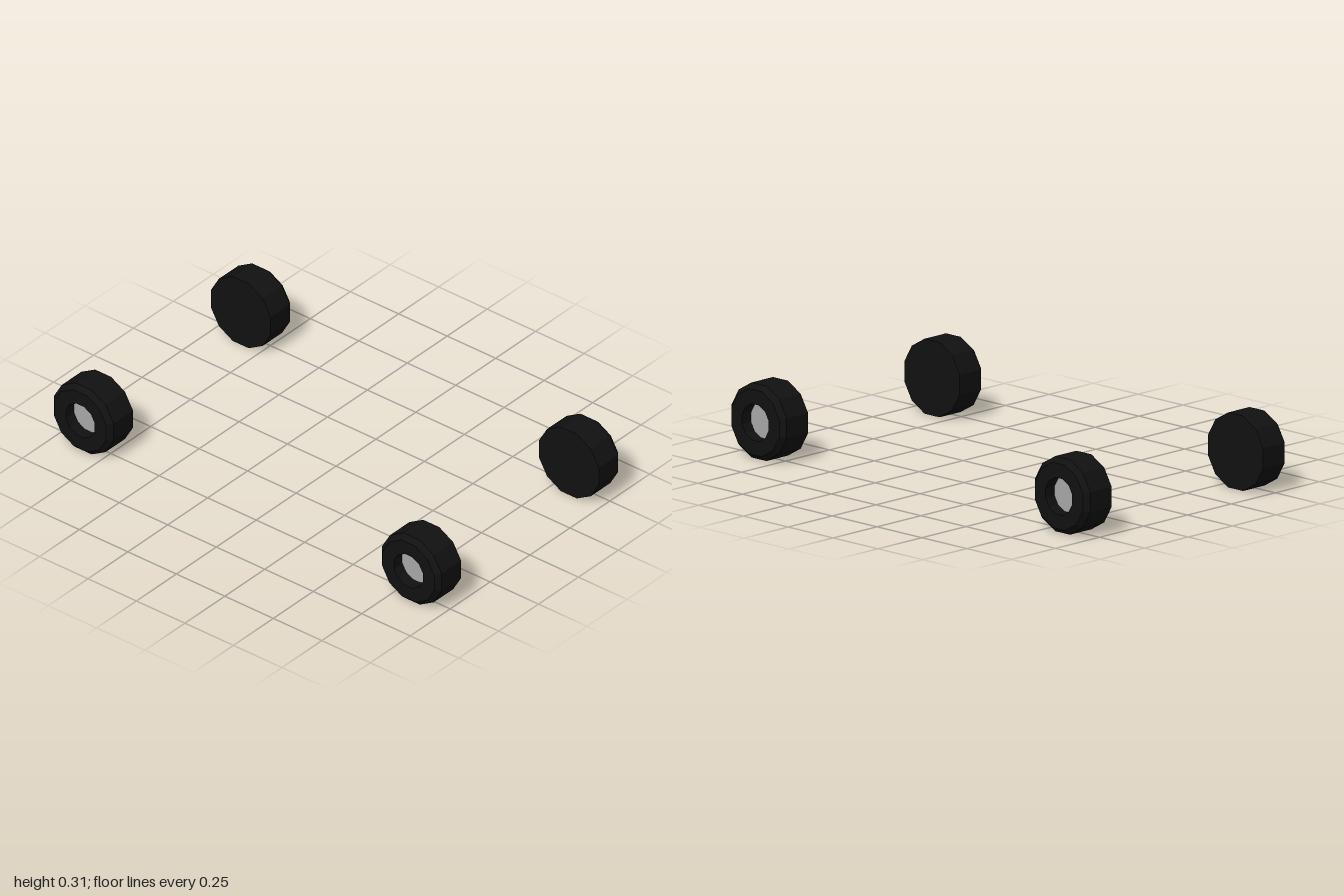
import * as THREE from 'three';

const SIDES = 12;
const APOTHEM = 0.154;                               // flat-to-centre distance of the tyre
const RADIUS = APOTHEM / Math.cos(Math.PI / SIDES);
const HALF = 0.0715;                                 // half the tyre width
const BEVEL = 0.021;
const HUB_RADIUS = 0.077;
const HUB_X = 0.02;                                  // hub sits recessed in the tyre

export function createModel() {
  const rubber = new THREE.MeshStandardMaterial({ name: 'black rubber', color: 0x111111, flatShading: true });
  const metal = new THREE.MeshStandardMaterial({ name: 'grey metal', color: 0xa8a8a8, flatShading: true });

  // Tyre: closed inner face, bevelled outer rim, round recess for the hub
  const profile = [
    [0, -HALF], [RADIUS, -HALF], [RADIUS, HALF - BEVEL], [RADIUS - BEVEL, HALF],
    [HUB_RADIUS, HALF], [HUB_RADIUS, HUB_X],
  ].map(([r, y]) => new THREE.Vector2(r, y));
  const tyreGeometry = new THREE.LatheGeometry(profile, SIDES, Math.PI / SIDES).rotateZ(-Math.PI / 2);

  // Hub: flat disc at the bottom of the recess, facing outwards
  const hubGeometry = new THREE.CircleGeometry(HUB_RADIUS, SIDES, Math.PI / SIDES)
    .rotateY(Math.PI / 2).translate(HUB_X, 0, 0);

  const model = new THREE.Group();
  model.name = 'wheelSet';
  for (const [sx, side] of [[1, 'Left'], [-1, 'Right']]) {
    for (const [sz, end] of [[1, 'front'], [-1, 'rear']]) {
      const wheel = new THREE.Group();
      wheel.name = `${end}${side}Wheel`;
      const tyre = new THREE.Mesh(tyreGeometry, rubber);
      tyre.name = 'tyre';
      const hub = new THREE.Mesh(hubGeometry, metal);
      hub.name = 'hub';
      wheel.add(tyre, hub);
      wheel.position.set(sx * 0.5025, APOTHEM, sz * (1 - APOTHEM));
      wheel.rotation.y = sx > 0 ? 0 : Math.PI;
      model.add(wheel);
    }
  }
  return model;
}
